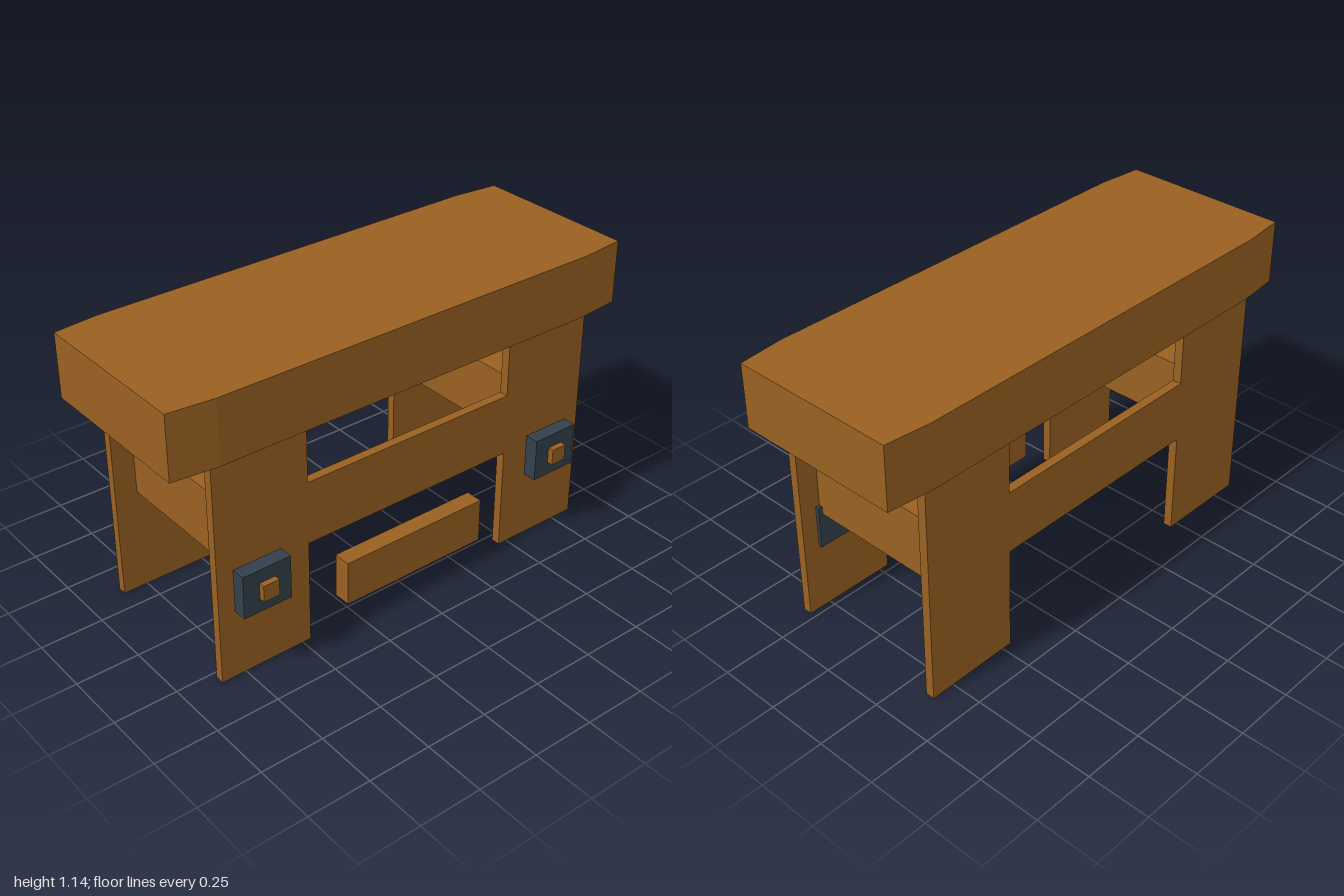
import * as THREE from 'three';

export function createModel() {
  const wood = new THREE.MeshStandardMaterial({ color: 0x9a6122 });
  wood.name = 'wood';
  const iron = new THREE.MeshStandardMaterial({ color: 0x33414c });
  iron.name = 'dark iron';

  const model = new THREE.Group();
  model.name = 'workbench';

  // Box given by its minimum and maximum along each axis
  function box(name, material, [x0, x1], [y0, y1], [z0, z1]) {
    const mesh = new THREE.Mesh(new THREE.BoxGeometry(x1 - x0, y1 - y0, z1 - z0), material);
    mesh.position.set((x0 + x1) / 2, (y0 + y1) / 2, (z0 + z1) / 2);
    mesh.name = name;
    model.add(mesh);
  }

  // Thick top whose long sides taper slightly towards the ends
  const outline = new THREE.Shape([
    [-1, -0.307], [-0.82, -0.326], [0.82, -0.326], [1, -0.307],
    [1, 0.37], [0.82, 0.388], [-0.82, 0.388], [-1, 0.37],
  ].map(([x, y]) => new THREE.Vector2(x, y)));
  const topGeometry = new THREE.ExtrudeGeometry(outline, { depth: 0.253, bevelEnabled: false });
  topGeometry.rotateX(-Math.PI / 2);
  const top = new THREE.Mesh(topGeometry, wood);
  top.name = 'benchTop';
  top.position.y = 0.892;
  model.add(top);

  const front = [0.275, 0.311];
  const back = [-0.373, -0.337];
  const railHeight = [0.422, 0.675];

  // Plank legs joined by thin long rails
  for (const [side, z] of [['front', front], ['back', back]]) {
    box(side + 'RightLeg', wood, [-0.85, -0.465], [0, 0.892], z);
    box(side + 'LeftLeg', wood, [0.46, 0.845], [0, 0.892], z);
    box(side + 'Rail', wood, [-0.465, 0.46], railHeight, z);
  }

  // Cross beams, iron plates and pegs on each side
  for (const [side, x] of [['right', -0.683], ['left', 0.678]]) {
    const beam = x < 0 ? -0.66 : 0.66;
    box(side + 'CrossBeam', wood, [beam - 0.1, beam + 0.1], railHeight, [back[1], front[0]]);
    box(side + 'Plate', iron, [x - 0.1, x + 0.1], [0.28, 0.455], [0.26, 0.366]);
    box(side + 'Peg', wood, [x - 0.033, x + 0.033], [0.335, 0.401], [0.34, 0.39]);
  }

  // Separate low board between the front legs
  box('lowerBoard', wood, [-0.32, 0.317], [0.105, 0.286], [0.275, 0.345]);

  return model;
}
